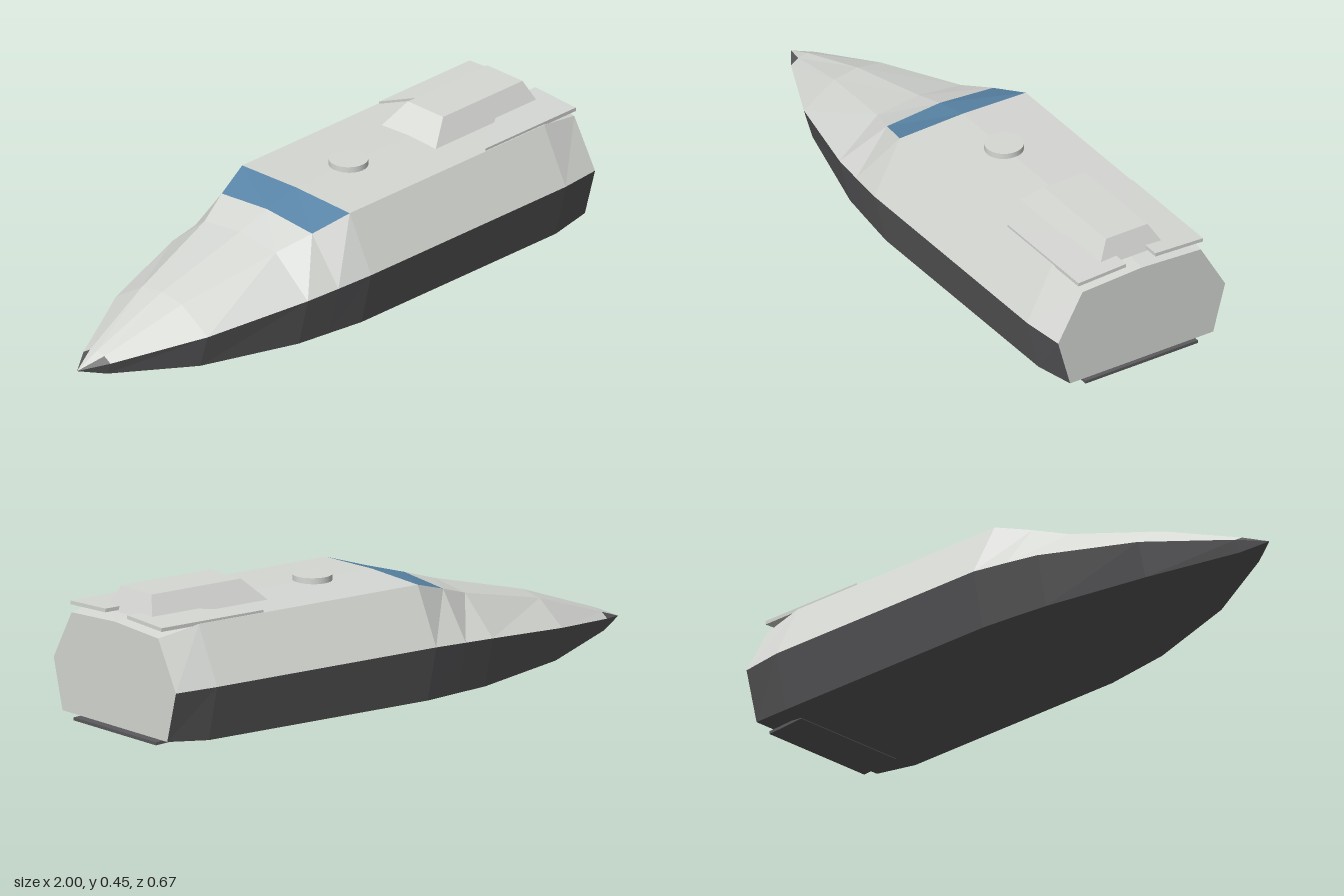
import * as THREE from 'three';

const paint = (name, color) => {
  const m = new THREE.MeshStandardMaterial({ color });
  m.name = name;
  return m;
};

// Hull stations along x: [x, keelY, keelZ, chineY, chineZ, shoulderY, shoulderZ, ridgeY]
const STATIONS = [
  [-1, 0.085, 0, 0.085, 0, 0.085, 0, 0.085],
  [-0.91, 0.06, 0.045, 0.1, 0.06, 0.117, 0.032, 0.125],
  [-0.62, 0.028, 0.17, 0.14, 0.203, 0.215, 0.088, 0.228],
  [-0.27, 0.013, 0.26, 0.176, 0.3, 0.297, 0.157, 0.315],
  [-0.15, 0.012, 0.275, 0.183, 0.317, 0.336, 0.2, 0.352],
  [-0.02, 0.01, 0.29, 0.19, 0.333, 0.375, 0.238, 0.382],
  [0.85, 0.01, 0.29, 0.19, 0.333, 0.375, 0.238, 0.382],
  [1, 0.022, 0.27, 0.187, 0.315, 0.348, 0.223, 0.36],
];

// Ring of points: keel -z, keel +z, chine, shoulder, ridge, shoulder, chine, keel -z
const ring = ([x, ky, kz, cy, cz, sy, sz, ry]) => [
  [x, ky, -kz], [x, ky, kz], [x, cy, cz], [x, sy, sz],
  [x, ry, 0], [x, sy, -sz], [x, cy, -cz], [x, ky, -kz],
];
const RINGS = STATIONS.map(ring);

function facets(name, material, triangles) {
  const g = new THREE.BufferGeometry();
  g.setAttribute('position', new THREE.Float32BufferAttribute(triangles.flat(2), 3));
  g.computeVertexNormals();
  const mesh = new THREE.Mesh(g, material);
  mesh.name = name;
  return mesh;
}

// Flat panels between stations s0..s1, ring points p0..p1
function panels(name, material, s0, s1, p0, p1) {
  const t = [];
  for (let s = s0; s < s1; s++) {
    for (let p = p0; p < p1; p++) {
      const a = RINGS[s][p], b = RINGS[s + 1][p], c = RINGS[s + 1][p + 1], d = RINGS[s][p + 1];
      t.push([a, b, c]);
      if (s > 0) t.push([a, c, d]);
    }
  }
  return facets(name, material, t);
}

// Closed solid between two matching outlines, both counter-clockwise seen from above
function solid(name, material, low, high) {
  const t = [], n = low.length;
  for (let i = 0; i < n; i++) {
    const j = (i + 1) % n;
    t.push([low[i], low[j], high[j]], [low[i], high[j], high[i]]);
    if (i > 0 && i < n - 1) t.push([high[0], high[i], high[j]], [low[0], low[j], low[i]]);
  }
  return facets(name, material, t);
}

export function createModel() {
  const light = paint('light grey', 0xd6d8d4);
  const dark = paint('dark grey', 0x5a5a5c);
  const blue = paint('window blue', 0x5a86a8);
  const model = new THREE.Group();
  model.name = 'boat';
  const last = RINGS.length - 1;

  // Hull skin
  model.add(
    panels('lowerHull', dark, 0, last, 0, 2),
    panels('lowerHullFarSide', dark, 0, last, 6, 7),
    panels('noseCheekLeft', dark, 0, 1, 2, 3),
    panels('noseCheekRight', dark, 0, 1, 5, 6),
    panels('upperSideLeft', light, 1, last, 2, 3),
    panels('upperSideRight', light, 1, last, 5, 6),
    panels('foredeck', light, 0, 4, 3, 5),
    panels('windscreen', blue, 4, 5, 3, 5),
    panels('roof', light, 5, last, 3, 5),
  );

  // Transom
  const r = RINGS[last];
  model.add(facets('transom', light, [1, 2, 3, 4, 5].map((i) => [r[0], r[i + 1], r[i]])));

  // Raised engine housing
  const rect = (x0, x1, y, z) => [[x0, y, z], [x1, y, z], [x1, y, -z], [x0, y, -z]];
  model.add(solid('engineHousing', light, rect(0.48, 0.945, 0.374, 0.122), rect(0.56, 0.915, 0.45, 0.078)));

  // Roof hatch
  const hatch = new THREE.Mesh(new THREE.CylinderGeometry(0.063, 0.063, 0.022, 32), light);
  hatch.name = 'roofHatch';
  hatch.position.set(0.215, 0.389, 0);
  model.add(hatch);

  // Rear deck flaps overhanging the stern
  for (const side of [1, -1]) {
    const plan = [[0.59, 0.235], [0.995, 0.235], [0.995, 0.055], [0.84, 0.055]];
    if (side < 0) plan.reverse();
    const at = (lift) => plan.map(([x, z]) => [x, 0.386 - (z - 0.055) * 0.045 + lift, z * side]);
    model.add(solid(side > 0 ? 'deckFlapLeft' : 'deckFlapRight', light, at(-0.007), at(0.005)));
  }

  // Trim plate under the stern
  const trim = (y0, y1) => [[0.86, y0, 0.212], [1, y1, 0.212], [1, y1, -0.212], [0.86, y0, -0.212]];
  model.add(solid('trimPlate', dark, trim(0.008, 0), trim(0.016, 0.01)));

  return model;
}
